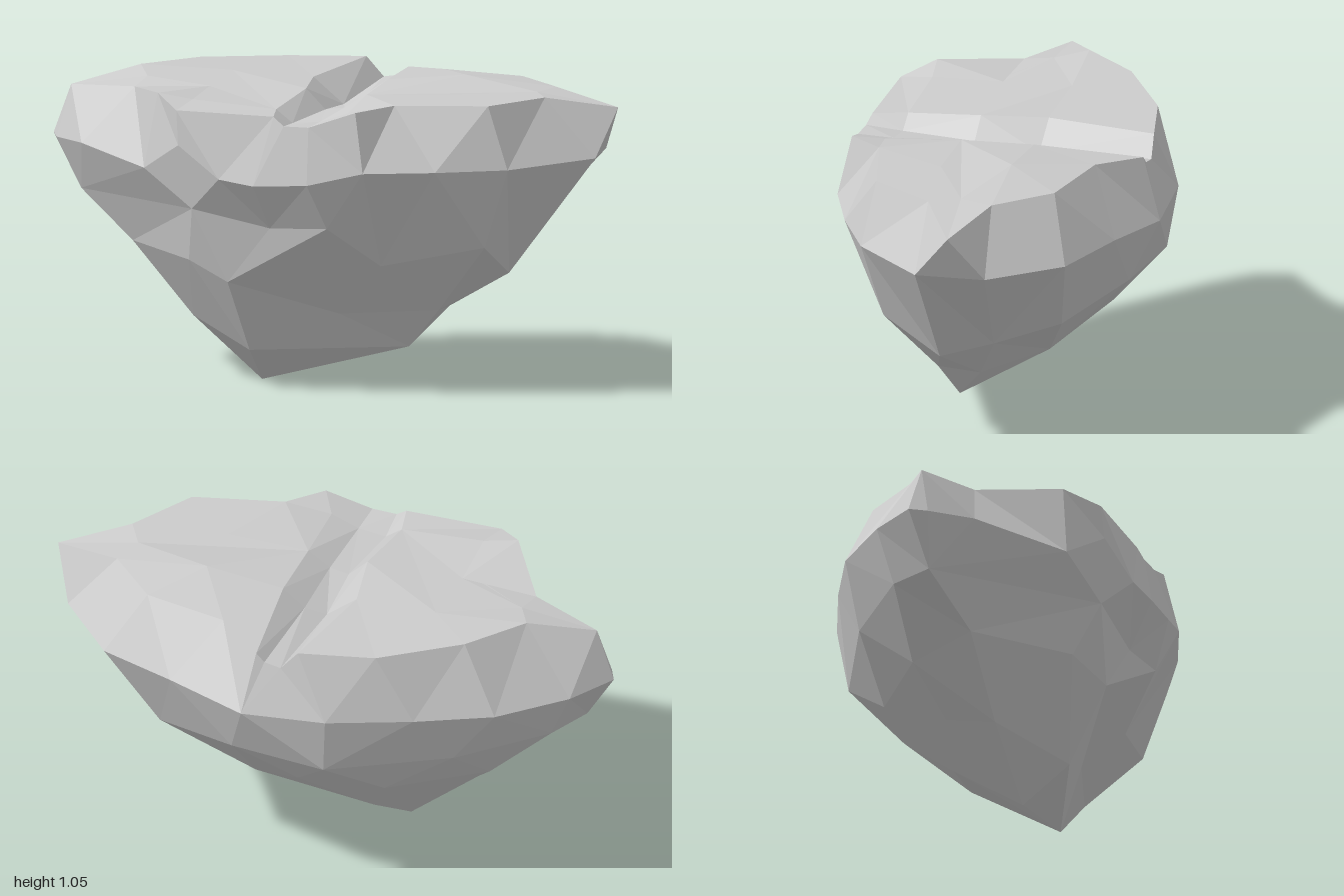
import * as THREE from 'three';

// Triangle strip between two point lines, always taking the shorter diagonal.
function zip(a, b, out) {
  const dist = (p, q) => Math.hypot(p[0] - q[0], p[1] - q[1], p[2] - q[2]);
  let i = 0, j = 0;
  while (i < a.length - 1 || j < b.length - 1) {
    const da = i < a.length - 1 ? dist(a[i + 1], b[j]) : Infinity;
    const db = j < b.length - 1 ? dist(a[i], b[j + 1]) : Infinity;
    if (da < db) { out.push(a[i], b[j], a[i + 1]); i++; }
    else { out.push(a[i], b[j], b[j + 1]); j++; }
  }
}

function facetedMesh(name, tris, material) {
  const geo = new THREE.BufferGeometry();
  geo.setAttribute('position', new THREE.Float32BufferAttribute(tris.flat(), 3));
  geo.computeVertexNormals();
  const mesh = new THREE.Mesh(geo, material);
  mesh.name = name;
  return mesh;
}

const close = (loop) => [...loop, loop[0]];

export function createModel() {
  const group = new THREE.Group();
  group.name = 'floatingRock';
  const material = new THREE.MeshStandardMaterial({ color: 0xcccccc, flatShading: true });

  // Top surface: lines running back to front, ordered left to right in x
  const columns = [
    [[-.57, 1.04, -.26], [-.72, 1.04, -.06], [-.93, .98, .07], [-.67, 1.0, .16], [-.5, 1.03, .42]],
    [[-.31, 1.03, -.44], [-.4, 1.03, -.1], [-.66, 1.02, .05], [-.4, 1.015, .15], [-.38, 1.01, .4], [-.4, .99, .52]],
    // crack: near lip, two floor lines, far lip
    [[-.05, 1.03, -.51], [-.11, 1.02, -.11], [-.06, 1.02, .12], [-.08, .99, .39], [-.05, .985, .51]],
    [[.01, .96, -.52], [.0, .93, -.11], [.01, .95, .12], [-.02, .945, .39], [-.01, .955, .52]],
    [[.07, .97, -.52], [.07, .96, -.14], [.08, .96, .12], [.08, .955, .39], [.08, .955, .52]],
    [[.1, 1.0, -.52], [.15, 1.02, -.14], [.16, 1.01, .12], [.18, .99, .39], [.24, 1.01, .49]],
    [[.27, 1.02, -.4], [.43, 1.05, -.15], [.72, 1.02, -.06], [.45, 1.02, .1], [.34, 1.02, .36]],
    [[.57, 1.02, -.35], [.75, 1.02, -.18], [1, .975, -.1], [.78, 1.02, .04], [.65, 1.02, .27]],
  ];
  const top = [];
  for (let k = 0; k < columns.length - 1; k++) zip(columns[k + 1], columns[k], top);
  group.add(facetedMesh('crackedTop', top, material));

  // Rim loop gathered from the ends of the top lines
  const first = columns[0], last = columns[columns.length - 1], inner = columns.slice(1, -1);
  const rim = [
    ...first.slice(2), ...inner.map((c) => c[c.length - 1]),
    ...[...last].reverse(), ...inner.map((c) => c[0]).reverse(), first[0], first[1],
  ];

  // Widest edge, then the narrowing loops down to the tip
  const edge = [
    [-1, .805, .05], [-.97, .8, .11], [-.84, .805, .23], [-.54, .77, .45], [-.39, .87, .53],
    [-.23, .765, .57], [-.1, .75, .585], [.09, .76, .57], [.28, .805, .53], [.51, .805, .43],
    [.73, .805, .3], [.96, .815, .03], [.92, .81, -.21], [.7, .805, -.43], [.42, .81, -.52],
    [.13, .785, -.59], [-.17, .8, -.56], [-.45, .8, -.44], [-.7, .8, -.31], [-.9, .8, -.11],
  ];
  const upper = [
    [-.89, .62, .08], [-.35, .645, .5], [-.07, .59, .49], [.14, .6, .5], [.28, .45, .33],
    [.63, .52, .25], [.65, .4, .04], [.6, .45, -.14], [.52, .52, -.36], [.2, .58, -.5],
    [-.15, .58, -.525], [-.55, .6, -.32], [-.82, .62, -.08],
  ];
  const middle = [
    [-.68, .46, .15], [-.39, .45, .41], [-.23, .39, .47], [.1, .26, .24], [.42, .27, .12],
    [.41, .26, -.03], [.22, .3, -.22], [0, .42, -.38], [-.3, .42, -.33], [-.6, .42, -.1],
  ];
  const lower = [
    [-.46, .21, .15], [-.2, .13, .32], [.3, .13, .08], [-.18, .19, -.12], [-.42, .27, -.05],
  ];
  const band = [], base = [];
  zip(close(rim), close(edge), band);
  const loops = [edge, upper, middle, lower].map(close);
  loops.push([[-.21, 0, .15]]);
  for (let k = 0; k < loops.length - 1; k++) zip(loops[k], loops[k + 1], base);
  group.add(facetedMesh('upperBand', band, material), facetedMesh('taperedBase', base, material));
  return group;
}
